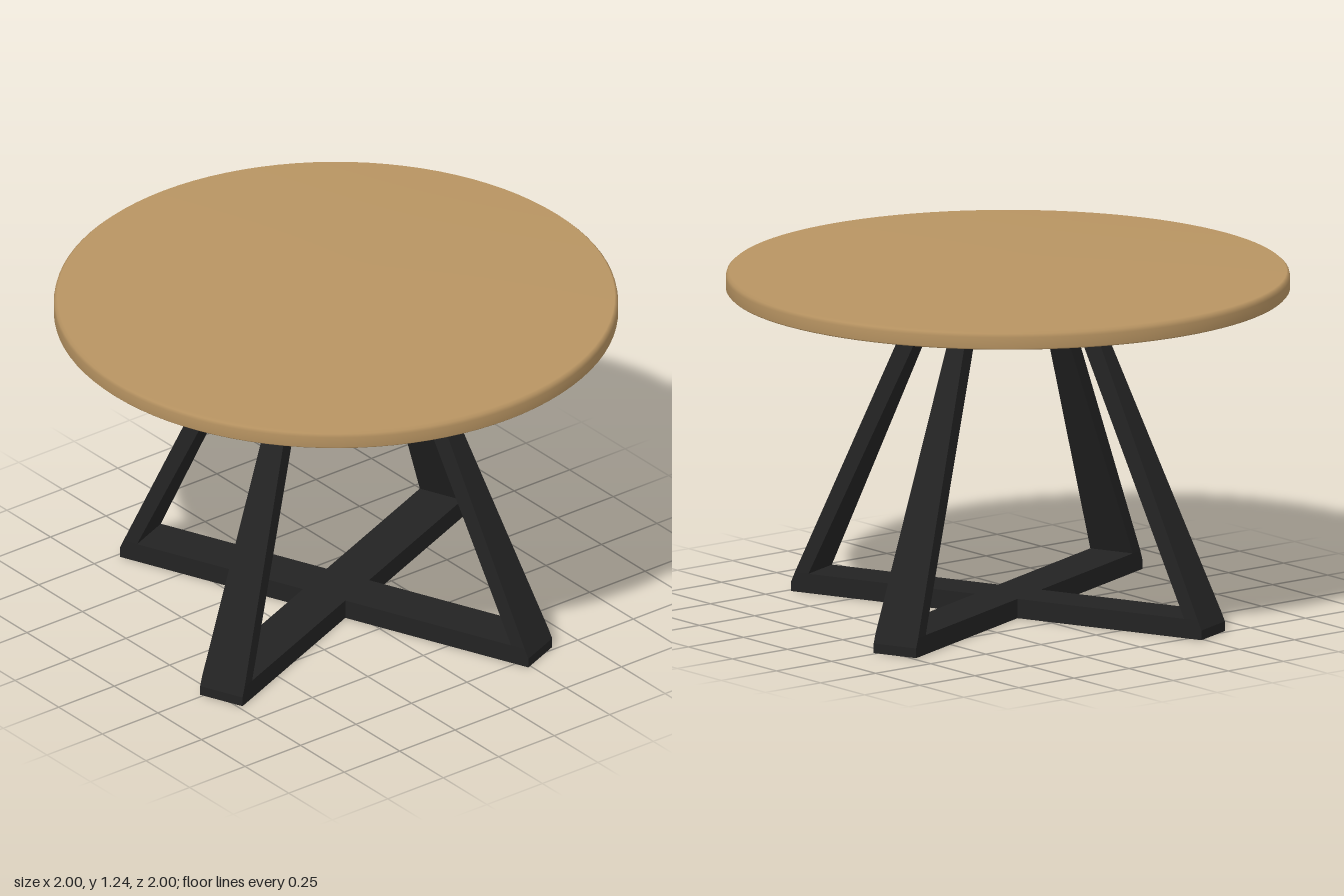
import * as THREE from 'three';

const WOOD = new THREE.MeshStandardMaterial({ color: 0xb89462 });
WOOD.name = 'oak wood';
const BLACK = new THREE.MeshStandardMaterial({ color: 0x232323 });
BLACK.name = 'black metal';

const BAR_H = 0.07, HALF_W = 0.086, TOP_Y = 1.17;
const FOOT_R = 0.83, FOOT_TOP_R = 0.815;

function addMesh(parent, geometry, material, name) {
  const mesh = new THREE.Mesh(geometry, material);
  mesh.name = name;
  parent.add(mesh);
  return mesh;
}

// floor bar running from radius `start` outwards, with a clipped upper end
function barGeometry(start) {
  const pts = [[start, 0], [FOOT_R, 0], [FOOT_R, 0.035], [FOOT_TOP_R, BAR_H], [start, BAR_H]];
  const shape = new THREE.Shape(pts.map(([x, y]) => new THREE.Vector2(x, y)));
  const geo = new THREE.ExtrudeGeometry(shape, { depth: 2 * HALF_W, bevelEnabled: false });
  return geo.translate(0, 0, -HALF_W);
}

// leaning leg, tapering in width from the floor bar up to the top
function legGeometry() {
  const geo = new THREE.BoxGeometry(1, 1, 1);
  const p = geo.attributes.position;
  const lerp = THREE.MathUtils.lerp;
  for (let i = 0; i < p.count; i++) {
    const t = p.getY(i) + 0.5;
    const inner = lerp(0.76, 0.25, t), outer = lerp(FOOT_TOP_R, 0.324, t);
    p.setXYZ(i,
      p.getX(i) > 0 ? outer : inner,
      lerp(BAR_H, TOP_Y, t),
      Math.sign(p.getZ(i)) * lerp(HALF_W, 0.028, t));
  }
  geo.computeVertexNormals();
  return geo;
}

export function createModel() {
  const model = new THREE.Group();
  model.name = 'roundTable';

  // round top with a softened rim
  const profile = [
    [0, 1.17], [0.85, 1.17], [0.995, 1.17], [1, 1.175],
    [1, 1.215], [0.997, 1.228], [0.988, 1.236], [0, 1.238],
  ].map(([r, y]) => new THREE.Vector2(r, y));
  addMesh(model, new THREE.LatheGeometry(profile, 96), WOOD, 'tableTop');

  // crossed base: four arms, each a floor bar and a leg
  const base = new THREE.Group();
  base.name = 'crossBase';
  base.rotation.y = Math.PI / 8;
  model.add(base);
  const leg = legGeometry();
  const longBar = barGeometry(0), shortBar = barGeometry(HALF_W);
  for (let i = 0; i < 4; i++) {
    const arm = new THREE.Group();
    arm.name = 'arm' + (i + 1);
    arm.rotation.y = i * Math.PI / 2;
    addMesh(arm, i % 2 ? shortBar : longBar, BLACK, 'floorBar');
    addMesh(arm, leg, BLACK, 'leg');
    base.add(arm);
  }
  return model;
}
